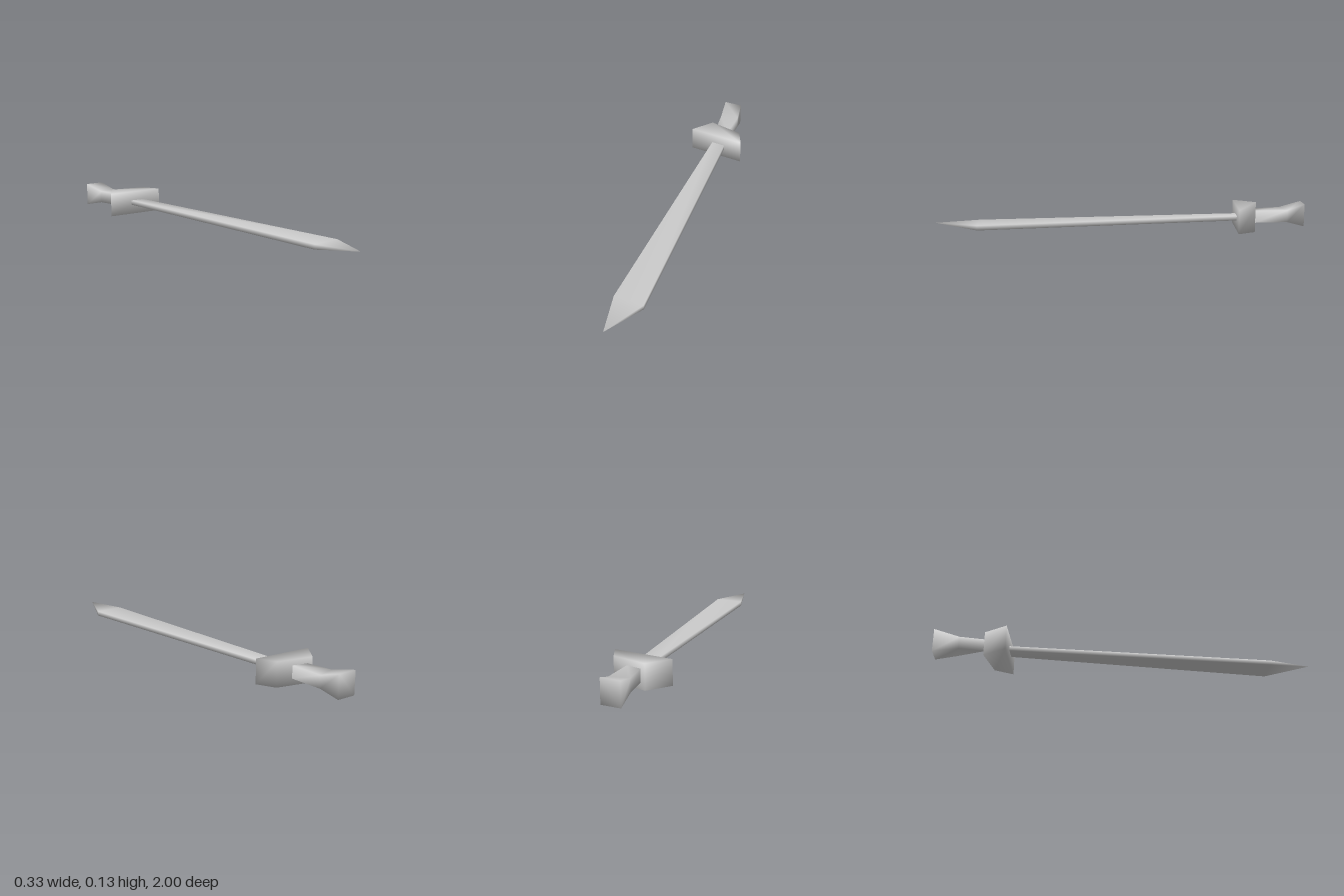
import * as THREE from 'three';

// Smooth four-sided loft, running from back (-z) to front (+z).
// Each section is [leftX, leftZ, rightX, rightZ, bottomY, topY].
function loft(name, material, sections, { tip, frontCap = true, notch = false } = {}) {
  const pos = [], idx = [];
  for (const [lx, lz, rx, rz, y0, y1] of sections) {
    pos.push(lx, y0, lz, rx, y0, rz, rx, y1, rz, lx, y1, lz);
  }
  const last = (sections.length - 1) * 4;
  idx.push(0, 2, 1, 0, 3, 2);
  for (let s = 0; s < last; s += 4) {
    for (let j = 0; j < 4; j++) {
      const k = (j + 1) % 4;
      const a = s + j, b = s + k, c = s + 4 + k, d = s + 4 + j;
      idx.push(a, b, d);
      // the underside may be cut diagonally at the front end
      if (!(notch && j === 0 && s === last - 4)) idx.push(b, c, d);
    }
  }
  if (tip) {
    pos.push(...tip);
    for (let j = 0; j < 4; j++) idx.push(last + j, last + (j + 1) % 4, last + 4);
  } else if (frontCap) {
    idx.push(last, last + 1, last + 2, last, last + 2, last + 3);
  }
  const geo = new THREE.BufferGeometry();
  geo.setAttribute('position', new THREE.Float32BufferAttribute(pos, 3));
  geo.setIndex(idx);
  geo.computeVertexNormals();
  const mesh = new THREE.Mesh(geo, material);
  mesh.name = name;
  return mesh;
}

export function createModel() {
  const steel = new THREE.MeshStandardMaterial({ color: 0xcccccc });
  steel.name = 'grey steel';
  const group = new THREE.Group();
  group.name = 'sword';

  // Long blade widening towards its pointed end
  group.add(loft('blade', steel, [
    [-0.012, -0.612, 0.063, -0.594, 0.053, 0.078],
    [-0.168, 0.77, -0.015, 0.795, 0.053, 0.078],
  ], { tip: [-0.142, 0.078, 1] }));

  // Skewed crossguard block
  group.add(loft('crossguard', steel, [
    [-0.04, -0.745, 0.136, -0.67, 0, 0.129],
    [-0.141, -0.645, 0.166, -0.567, 0, 0.129],
  ]));

  // Grip flaring into the pommel
  group.add(loft('handle', steel, [
    [-0.016, -1, 0.085, -0.98, 0.005, 0.129],
    [-0.016, -0.87, 0.085, -0.88, 0.034, 0.1],
    [-0.016, -0.735, 0.06, -0.702, 0.034, 0.1],
  ], { frontCap: false, notch: true }));

  return group;
}
